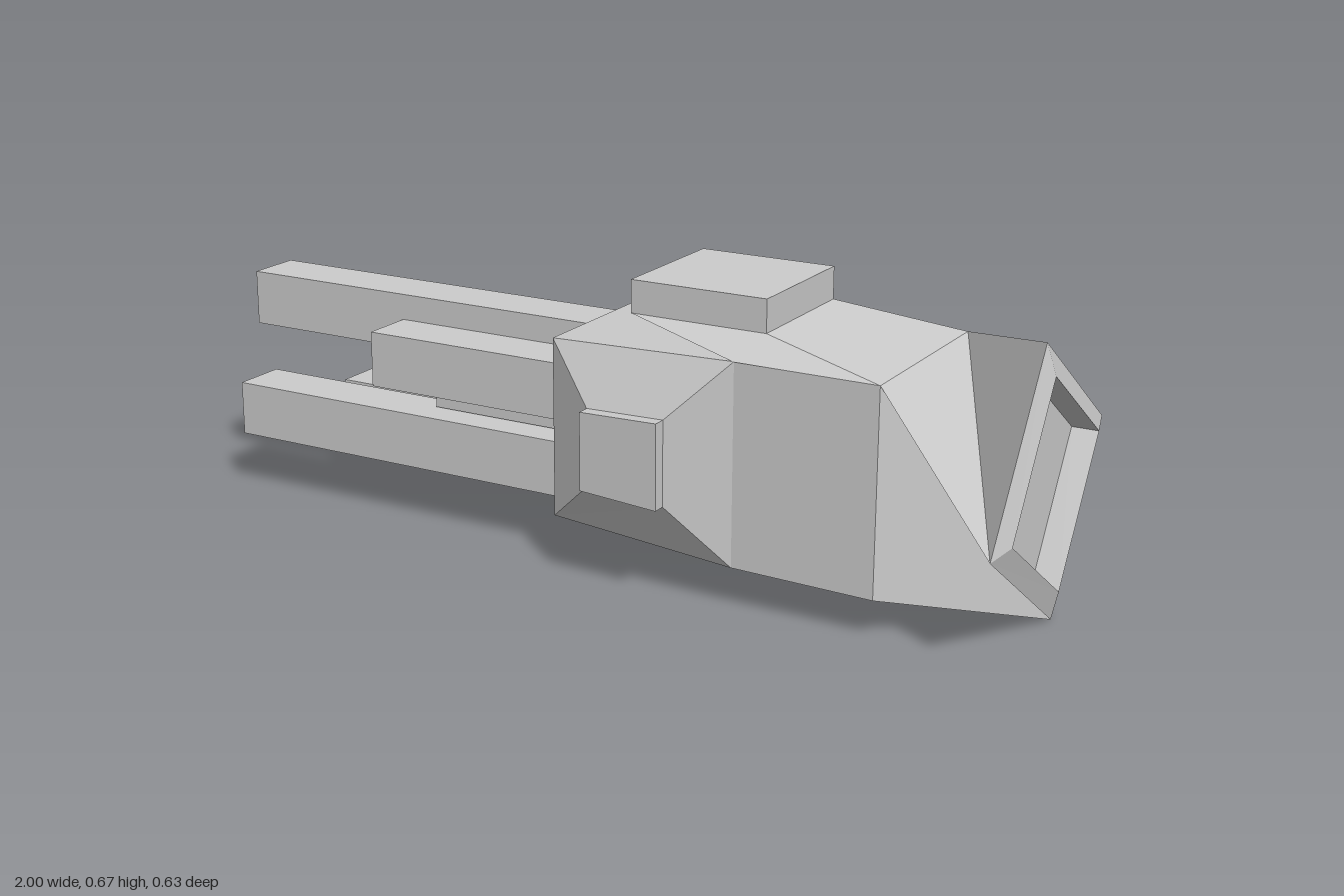
import * as THREE from 'three';

const material = new THREE.MeshStandardMaterial({ color: 0xcccccc, flatShading: true });

// Skin a series of four-cornered loops, each clockwise as seen from the far end.
function loft(name, loops, capStart, capEnd) {
  const pos = [];
  const tri = (...pts) => pts.forEach((p) => pos.push(...p));
  for (let k = 0; k < loops.length - 1; k++) {
    const a = loops[k], b = loops[k + 1];
    for (let i = 0; i < 4; i++) {
      const j = (i + 1) % 4;
      tri(a[i], b[i], a[j]);
      tri(b[i], b[j], a[j]);
    }
  }
  if (capStart) {
    const [p, q, r, s] = loops[0];
    tri(p, q, r);
    tri(p, r, s);
  }
  if (capEnd) {
    const [p, q, r, s] = loops[loops.length - 1];
    tri(p, r, q);
    tri(p, s, r);
  }
  const g = new THREE.BufferGeometry();
  g.setAttribute('position', new THREE.Float32BufferAttribute(pos, 3));
  g.computeVertexNormals();
  const mesh = new THREE.Mesh(g, material);
  mesh.name = name;
  return mesh;
}

function box(name, x0, x1, y0, y1, z0, z1) {
  const mesh = new THREE.Mesh(new THREE.BoxGeometry(x1 - x0, y1 - y0, z1 - z0), material);
  mesh.position.set((x0 + x1) / 2, (y0 + y1) / 2, (z0 + z1) / 2);
  mesh.name = name;
  return mesh;
}

// Upright rectangle across the x axis
const section = (x, y0, y1, z0, z1) => [[x, y1, z1], [x, y1, z0], [x, y0, z0], [x, y0, z1]];

// Turned square of the flared end; (z, y) is the offset of its first corner from the centre
function turnedSquare(x, z, y) {
  return [[z, y], [-y, z], [-z, -y], [y, -z]].map(([dz, dy]) => [x, 0.317 + dy, dz]);
}

// Level rectangle facing up
const level = (y, x0, x1, z) => [[x0, y, -z], [x1, y, -z], [x1, y, z], [x0, y, z]];

export function createModel() {
  const group = new THREE.Group();

  // Main body, twisting into the flared end with its bevelled rim and square recess
  const inner = [0.245, -0.049];
  group.add(loft('body', [
    section(-0.07, 0.12, 0.525, -0.208, 0.2),
    section(0.38, 0.095, 0.545, -0.228, 0.225),
    section(0.705, 0.09, 0.545, -0.228, 0.228),
    turnedSquare(0.982, 0.315, -0.061),
    turnedSquare(1.0, ...inner),
    turnedSquare(0.94, ...inner),
  ], true, true));

  // Leaning wedge on top with its flat block
  group.add(loft('topWedge', [
    level(0.545, 0.38, 0.705, 0.228),
    level(0.594, 0.1, 0.42, 0.16),
  ], false, false));
  group.add(box('topBlock', 0.1, 0.42, 0.593, 0.667, -0.16, 0.16));

  // Tapered front panel and raised block
  const panelTop = [[0.055, 0.405, 0.268], [0.245, 0.413, 0.278], [0.245, 0.222, 0.278], [0.055, 0.23, 0.268]];
  group.add(loft('frontPanel', [
    [[-0.07, 0.525, 0.2], [0.38, 0.545, 0.225], [0.38, 0.095, 0.225], [-0.07, 0.12, 0.2]],
    panelTop,
  ], false, false));
  group.add(loft('frontBlock', [
    panelTop,
    panelTop.map(([x, y, z]) => [x, y, z + 0.03]),
  ], false, true));

  // Bundle of square rods: tip x, bottom y, back z
  const rods = [
    [-1.0, 0.394, -0.075],
    [-1.0, 0.135, 0.0],
    [-0.8, 0.135, -0.145],
    [-0.67, 0.266, -0.2],
    [-0.57, 0.334, 0.05],
    [-0.48, 0.265, -0.072],
  ];
  rods.forEach(([x, y, z], i) => {
    group.add(box(`rod${i + 1}`, x, -0.06, y, y + 0.128, z, z + 0.13));
  });

  return group;
}
